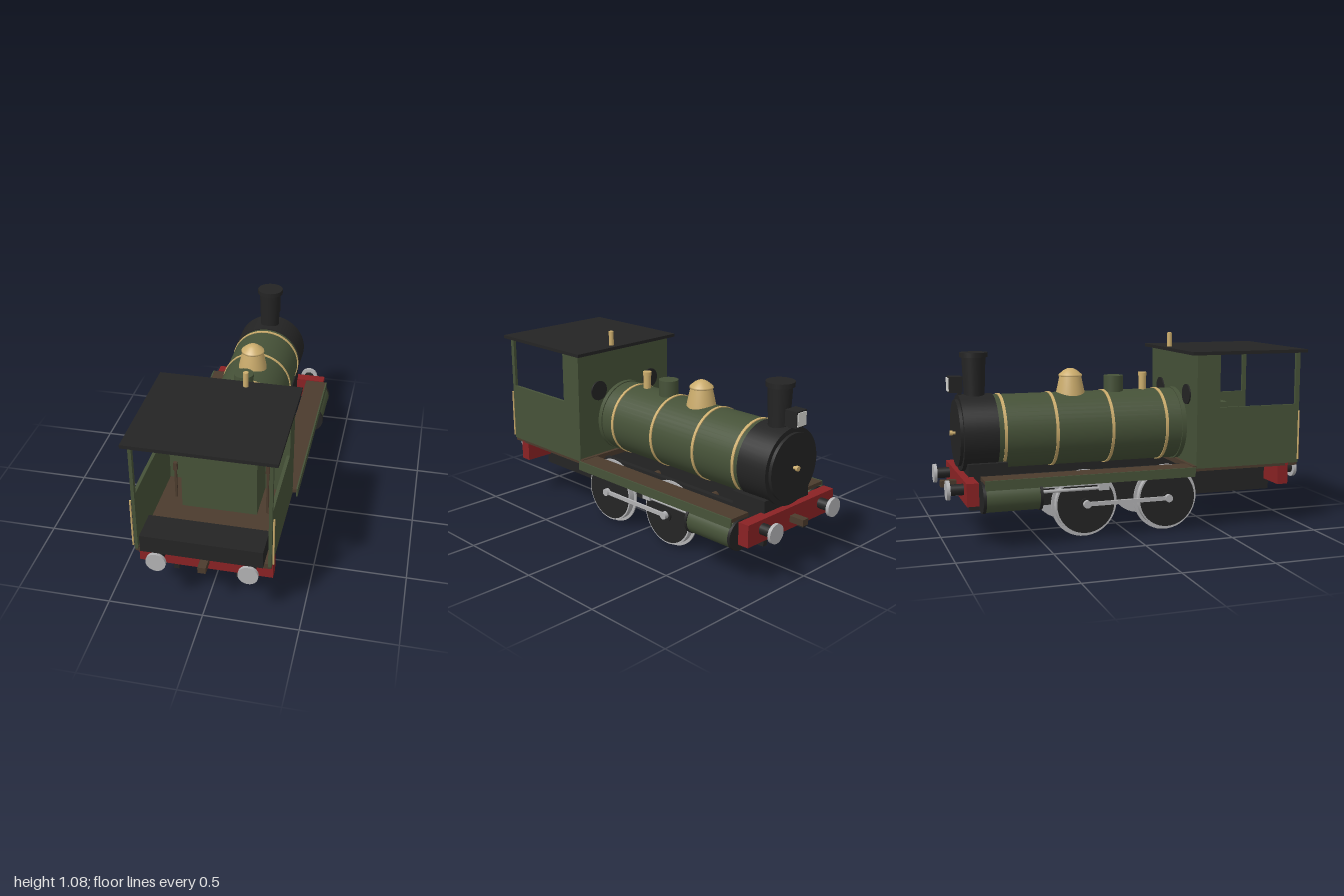
import * as THREE from 'three';

const mat = (name, color) => {
  const m = new THREE.MeshStandardMaterial({ color });
  m.name = name;
  return m;
};

export function createModel() {
  const green = mat('bodyGreen', 0x465238);
  const black = mat('black', 0x242424);
  const red = mat('beamRed', 0x8a2224);
  const brown = mat('brown', 0x4b3b2d);
  const brass = mat('brass', 0xcbac6c);
  const steel = mat('steel', 0xb2b2b4);
  const white = mat('paleFace', 0xd8d8d4);
  const needleRed = mat('needleRed', 0xc03028);

  const root = new THREE.Group();
  root.name = 'tankEngine';
  const add = (name, geo, m, x = 0, y = 0, z = 0) => {
    const mesh = new THREE.Mesh(geo, m);
    mesh.name = name;
    mesh.position.set(x, y, z);
    root.add(mesh);
  };
  // Box given by its limits on each axis
  const box = (name, m, x0, x1, y0, y1, z0, z1) =>
    add(name, new THREE.BoxGeometry(x1 - x0, y1 - y0, z1 - z0), m, (x0 + x1) / 2, (y0 + y1) / 2, (z0 + z1) / 2);
  // Box on both sides, limits given for +x
  const boxPair = (name, m, x0, x1, ...r) => {
    box(name + 'Left', m, x0, x1, ...r);
    box(name + 'Right', m, -x1, -x0, ...r);
  };
  // Cylinder between two limits along one axis; p and q are the other two coordinates
  const cyl = (name, m, axis, r, a, b, p, q, seg = 32) => {
    const g = new THREE.CylinderGeometry(r, r, b - a, seg);
    const c = (a + b) / 2;
    if (axis === 'x') add(name, g.rotateZ(Math.PI / 2), m, c, p, q);
    else if (axis === 'z') add(name, g.rotateX(Math.PI / 2), m, p, q, c);
    else add(name, g, m, p, c, q);
  };
  const lathe = (name, m, pts, z) =>
    add(name, new THREE.LatheGeometry(pts.map(p => new THREE.Vector2(...p)), 32), m, 0, 0, z);

  // Frames, floor and running boards
  boxPair('frame', black, 0.149, 0.177, 0.18, 0.355, -0.87, 0.875);
  box('cabFloor', brown, -0.345, 0.345, 0.345, 0.375, 0.33, 0.965);
  boxPair('runningBoard', brown, 0.24, 0.366, 0.352, 0.372, -0.82, 0.34);
  boxPair('valance', green, 0.364, 0.372, 0.322, 0.373, -0.82, 0.335);

  // End beams with bumpers and couplings
  for (const e of [1, -1]) {
    const end = e > 0 ? 'rear' : 'front';
    const span = (a, b) => (e > 0 ? [a, b] : [-b, -a]);
    box(end + 'Beam', red, -0.345, 0.345, 0.24, 0.36, ...span(0.847, 0.91));
    box(end + 'Coupling', brown, -0.021, 0.021, 0.28, 0.315, ...span(0.91, 0.995));
    for (const s of [1, -1]) {
      cyl(end + 'BumperShank', black, 'z', 0.03, ...span(0.91, 0.982), s * 0.235, 0.31, 20);
      cyl(end + 'BumperHead', steel, 'z', 0.052, ...span(0.982, 1), s * 0.235, 0.31);
    }
  }

  // Boiler, bands and smokebox
  cyl('boiler', green, 'z', 0.2, -0.71, 0.36, 0, 0.57, 48);
  cyl('boilerFlange', green, 'z', 0.206, 0.325, 0.35, 0, 0.57, 48);
  for (const z of [0.236, -0.077, -0.39, -0.67])
    cyl('boilerBand', brass, 'z', 0.205, z - 0.008, z + 0.008, 0, 0.57, 48);
  cyl('smokebox', black, 'z', 0.206, -0.89, -0.705, 0, 0.57, 48);
  cyl('smokeboxDoor', black, 'z', 0.18, -0.907, -0.89, 0, 0.57, 48);
  cyl('doorBoss', brass, 'z', 0.009, -0.935, -0.905, 0, 0.57, 12);
  cyl('doorHandle', brass, 'z', 0.014, -0.936, -0.922, 0, 0.57, 12);
  box('smokeboxSaddle', black, -0.177, 0.177, 0.34, 0.425, -0.87, -0.66);

  // Chimney and lamp
  lathe('chimney', black, [[0.056, 0.75], [0.056, 0.79], [0.064, 0.975]], -0.8);
  cyl('chimneyCap', black, 'y', 0.075, 0.975, 1, 0, -0.8);
  box('lampBody', black, -0.04, 0.04, 0.79, 0.875, -0.94, -0.868);
  box('lampBracket', black, -0.015, 0.015, 0.72, 0.8, -0.89, -0.87);
  box('lampFace', white, -0.033, 0.033, 0.797, 0.868, -0.945, -0.94);

  // Boiler-top fittings
  lathe('domeBody', brass, [[0.082, 0.73], [0.08, 0.765], [0.06, 0.858]], -0.265);
  lathe('domeCap', brass, [[0.058, 0.856], [0.066, 0.856], [0.064, 0.866], [0.035, 0.89], [0.018, 0.898], [0, 0.9]], -0.265);
  cyl('sandbox', green, 'y', 0.055, 0.74, 0.853, 0, -0.015);
  cyl('safetyValve', brass, 'y', 0.021, 0.75, 0.85, 0, 0.158, 16);
  cyl('safetyValveCap', brass, 'y', 0.025, 0.845, 0.865, 0, 0.158, 16);
  cyl('whistle', brass, 'y', 0.014, 1, 1.08, 0.09, 0.358, 16);

  // Cab
  box('cabRoof', black, -0.375, 0.375, 0.982, 1, 0.312, 1);
  box('cabFront', green, -0.345, 0.345, 0.36, 0.982, 0.35, 0.365);
  boxPair('cabSide', green, 0.33, 0.347, 0.36, 0.692, 0.35, 0.97);
  boxPair('cabSideUpper', green, 0.33, 0.347, 0.692, 0.982, 0.35, 0.485);
  boxPair('cabPost', green, 0.33, 0.347, 0.692, 0.982, 0.945, 0.97);
  box('cabBunker', black, -0.31, 0.31, 0.375, 0.47, 0.83, 1);
  for (const s of [1, -1]) {
    cyl('spectacleWindow', black, 'z', 0.056, 0.342, 0.35, s * 0.2, 0.755);
    cyl('cabHandrail', brass, 'y', 0.005, 0.38, 0.655, s * 0.355, 0.965, 8);
  }

  // Cab interior
  box('firebox', green, -0.2, 0.2, 0.36, 0.702, 0.36, 0.6);
  box('backhead', black, -0.2, 0.2, 0.7, 0.842, 0.365, 0.39);
  cyl('gaugeRim', brass, 'z', 0.033, 0.39, 0.4, 0.108, 0.748);
  cyl('gaugeFace', white, 'z', 0.029, 0.4, 0.404, 0.108, 0.748);
  box('gaugeNeedle', needleRed, 0.106, 0.11, 0.745, 0.772, 0.404, 0.407);
  box('regulatorLever', steel, 0.087, 0.093, 0.702, 0.89, 0.41, 0.416);
  box('shortLever', steel, -0.114, -0.106, 0.7, 0.755, 0.41, 0.418);
  for (const [x, top, z] of [[0.25, 0.675, 0.57], [-0.25, 0.595, 0.53]]) {
    box('floorLever', brown, x - 0.006, x + 0.006, 0.37, top - 0.03, z - 0.006, z + 0.006);
    box('leverGrip', brown, x - 0.01, x + 0.01, top - 0.045, top, z - 0.01, z + 0.01);
  }

  // Running gear, mirrored on both sides
  for (const s of [1, -1]) {
    const span = (a, b) => (s > 0 ? [a, b] : [-b, -a]);
    for (const z of [0.22, -0.25]) {
      cyl('wheelFlange', steel, 'x', 0.185, ...span(0.203, 0.211), 0.185, z, 48);
      cyl('wheelTread', steel, 'x', 0.169, ...span(0.211, 0.244), 0.185, z, 48);
      cyl('wheelCentre', black, 'x', 0.16, ...span(0.244, 0.247), 0.185, z, 48);
      cyl('wheelHub', black, 'x', 0.035, ...span(0.247, 0.256), 0.185, z, 24);
      cyl('crankPin', steel, 'x', 0.021, ...span(0.247, 0.28), 0.188, z, 20);
      cyl('axleStub', brown, 'x', 0.022, ...span(0.112, 0.203), 0.188, z, 20);
    }
    box('couplingRod', steel, ...span(0.26, 0.272), 0.177, 0.199, -0.25, 0.22);

    // Cylinder, piston rod and slide bars
    cyl('steamCylinder', green, 'z', 0.077, -0.82, -0.53, s * 0.31, 0.274);
    cyl('cylinderCoverFront', black, 'z', 0.082, -0.832, -0.816, s * 0.31, 0.274);
    cyl('cylinderCoverRear', black, 'z', 0.082, -0.535, -0.52, s * 0.31, 0.274);
    cyl('pistonRod', steel, 'z', 0.009, -0.53, -0.17, s * 0.31, 0.284, 12);
    box('slideBar', steel, ...span(0.298, 0.322), 0.304, 0.313, -0.53, -0.15);
    box('crosshead', steel, ...span(0.292, 0.328), 0.274, 0.312, -0.2, -0.145);
  }
  return root;
}
